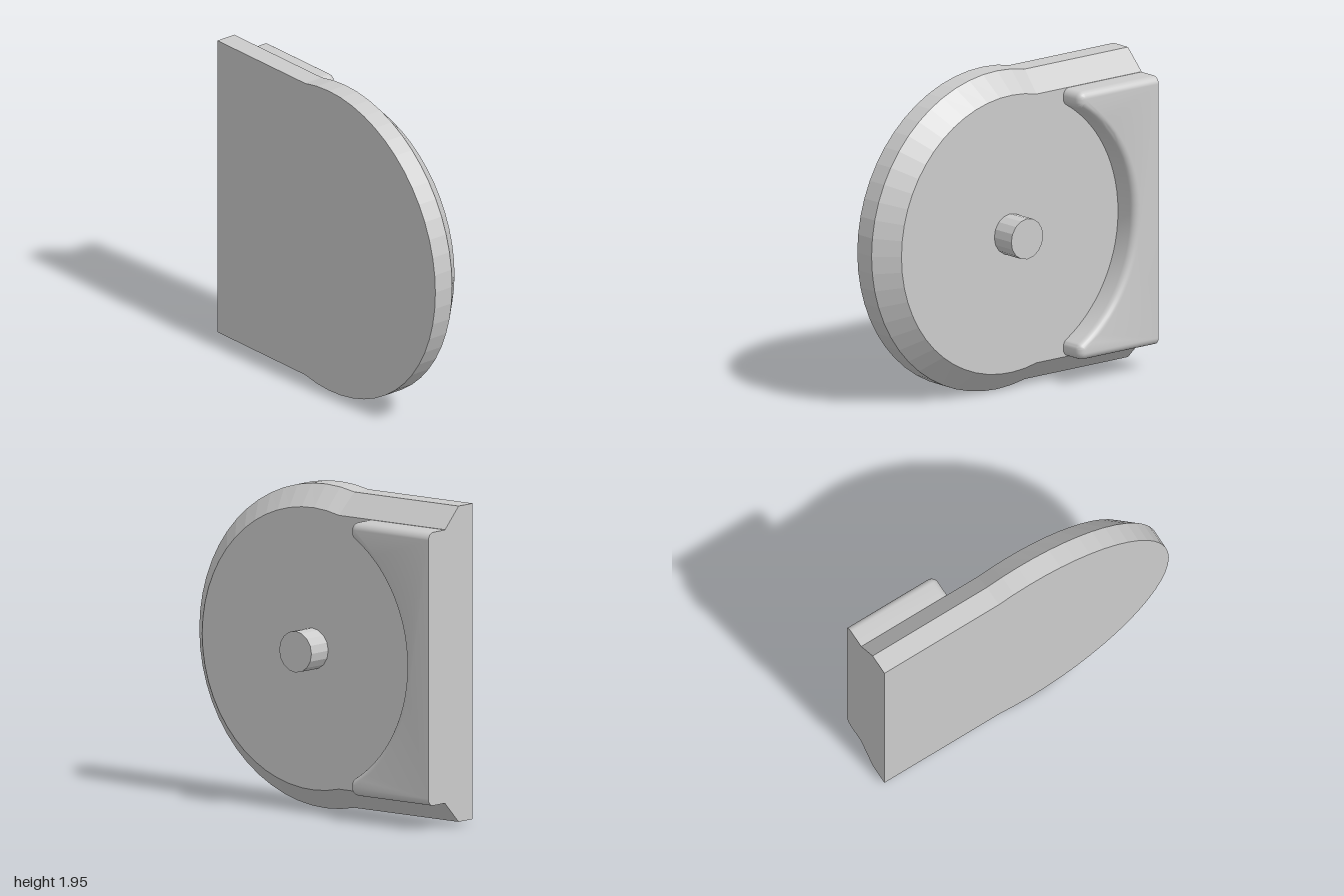
import * as THREE from 'three';
import { toCreasedNormals } from 'three/addons/utils/BufferGeometryUtils.js';

const CX = 0.0245, CY = 0.973;             // centre of the round end
const BACK = -0.205, FLOOR = -0.05, FRONT = 0.205;

// Skin a stack of counter-clockwise outlines (front to back) and cap both ends
function loft(rings) {
  const n = rings[0].pts.length, pos = [], idx = [];
  for (const { pts, z } of rings) for (const p of pts) pos.push(p.x, p.y, z);
  for (let r = 0; r < rings.length - 1; r++) {
    for (let i = 0; i < n; i++) {
      const j = (i + 1) % n, a = r * n + i, b = r * n + j, c = b + n, d = a + n;
      idx.push(a, d, c, a, c, b);
    }
  }
  const last = (rings.length - 1) * n;
  for (const [a, b, c] of THREE.ShapeUtils.triangulateShape(rings[0].pts, [])) idx.push(a, b, c);
  for (const [a, b, c] of THREE.ShapeUtils.triangulateShape(rings[rings.length - 1].pts, []))
    idx.push(last + a, last + c, last + b);
  const g = new THREE.BufferGeometry();
  g.setAttribute('position', new THREE.Float32BufferAttribute(pos, 3));
  g.setIndex(idx);
  return g;
}

// Plate outline: straight-sided block running into a slightly wider disc
function plateOutline(inset) {
  const h = 0.9475 - inset, r = 0.973 - inset, seg = 32;
  const a = Math.PI - Math.asin(h / r);
  const pts = [new THREE.Vector2(-1, -h)];
  for (let i = 0; i <= seg; i++) {
    const t = -a + (2 * a * i) / seg;
    pts.push(new THREE.Vector2(CX + r * Math.cos(t), r * Math.sin(t)));
  }
  pts.push(new THREE.Vector2(-1, h));
  return pts;
}

// Raised block outline: core shape grown by e, with round tips and a concave arc
function blockOutline(e) {
  const tipX = -0.435, h = 0.775, r = 0.885, fan = 5, seg = 14;
  const s = Math.acos((CX - tipX) / r), half = [];
  const add = (x, y, t) => half.push(new THREE.Vector2(x + e * Math.cos(t), y + e * Math.sin(t)));
  add(-1, -h, -Math.PI / 2);
  for (let i = 0; i <= fan; i++) add(tipX, -h, (-Math.PI / 2) * (1 - i / fan));
  for (let i = 0; i < fan; i++) add(tipX, -r * Math.sin(s), (s * i) / fan);
  for (let i = 0; i <= seg; i++) {
    const t = s * (1 - i / seg);
    add(CX - r * Math.cos(t), -r * Math.sin(t), t);
  }
  // mirror, leaving out the shared middle point
  const upper = half.slice(0, -1).reverse().map(p => new THREE.Vector2(p.x, -p.y));
  return half.concat(upper);
}

export function createModel() {
  const model = new THREE.Group();
  const flat = new THREE.MeshStandardMaterial({ color: 0xcccccc, flatShading: true });
  const smooth = new THREE.MeshStandardMaterial({ color: 0xcccccc });
  const add = (name, geometry, material) => {
    const mesh = new THREE.Mesh(geometry, material);
    mesh.name = name;
    mesh.position.set(0, CY, 0);
    model.add(mesh);
    return mesh;
  };

  // Base plate with chamfered back rim
  add('basePlate', loft([
    { pts: plateOutline(0), z: FRONT },
    { pts: plateOutline(0), z: 0.075 },
    { pts: plateOutline(0.126), z: FLOOR },
  ]), flat);

  // Raised end block, back edge rounded over
  const R = 0.045, steps = 6;
  const rings = [{ pts: blockOutline(R), z: FLOOR + 0.01 }];
  for (let i = 0; i <= steps; i++) {
    const t = (i / steps) * Math.PI / 2;
    rings.push({
      pts: blockOutline(Math.max(R * Math.cos(t), 0.001)),
      z: BACK + R - R * Math.sin(t),
    });
  }
  add('endBlock', toCreasedNormals(loft(rings), 0.7), smooth);

  // Centre pin
  const depth = FLOOR - BACK + 0.01;
  const pin = new THREE.CylinderGeometry(0.124, 0.124, depth, 16);
  pin.rotateX(Math.PI / 2);
  const pinMesh = add('centrePin', pin, flat);
  pinMesh.position.x = CX;
  pinMesh.position.z = BACK + depth / 2;

  return model;
}
